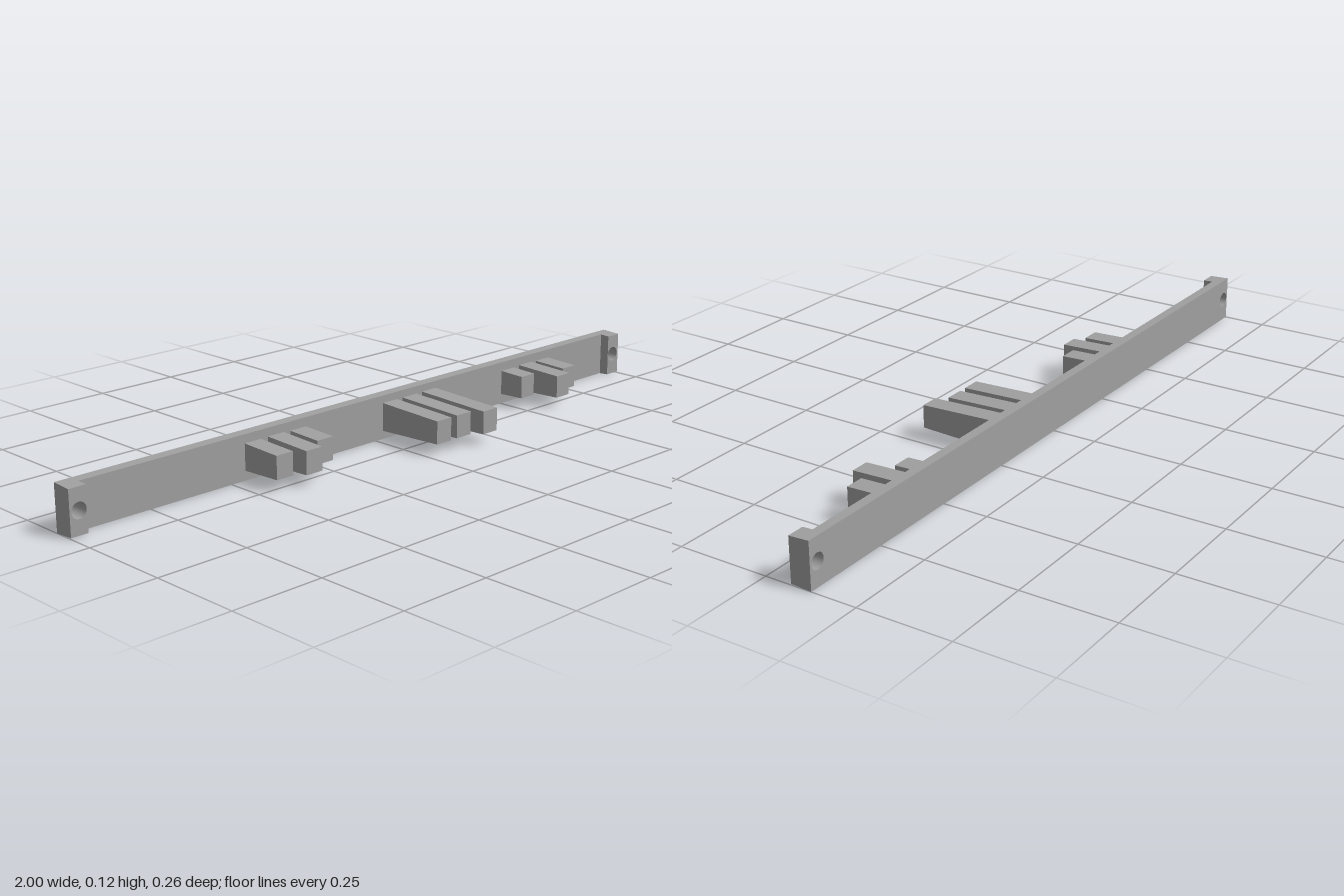
import * as THREE from 'three';

const BACK = -0.128, PLATE_FRONT = -0.1, CAP_FRONT = -0.072;
const MID_Y = 0.0635;

// Narrows a geometry vertically towards the front, giving a moulded draft.
function draft(geometry, midY, slope, zStart) {
  const p = geometry.attributes.position;
  for (let i = 0; i < p.count; i++) {
    const away = Math.sign(p.getY(i) - midY);
    p.setY(i, p.getY(i) - away * slope * (p.getZ(i) - zStart));
  }
  geometry.computeVertexNormals();
  return geometry;
}

// Upright slab between x0 and x1, with round screw holes through it.
function slab(x0, x1, z0, z1, holeXs) {
  const shape = new THREE.Shape();
  shape.moveTo(x0, 0.001);
  shape.lineTo(x1, 0.001);
  shape.lineTo(x1, 0.126);
  shape.lineTo(x0, 0.126);
  shape.closePath();
  for (const x of holeXs) {
    const hole = new THREE.Path();
    hole.absarc(x, 0.065, 0.021, 0, Math.PI * 2, true);
    shape.holes.push(hole);
  }
  const g = new THREE.ExtrudeGeometry(shape, { depth: z1 - z0, bevelEnabled: false, curveSegments: 24 });
  g.translate(0, 0, z0);
  // Only the outer edges taper, the bores stay straight.
  const p = g.attributes.position;
  for (let i = 0; i < p.count; i++) {
    const y = p.getY(i), t = 0.055 * (p.getZ(i) - BACK);
    if (y < 0.01) p.setY(i, y + t);
    if (y > 0.12) p.setY(i, y - t);
  }
  g.computeVertexNormals();
  return g;
}

export function createModel() {
  const model = new THREE.Group();
  model.name = 'peggedRail';
  const grey = new THREE.MeshStandardMaterial({ color: 0xa0a0a0 });
  grey.name = 'plainGrey';

  const add = (name, geometry, parent = model) => {
    const mesh = new THREE.Mesh(geometry, grey);
    mesh.name = name;
    parent.add(mesh);
  };

  // Long back plate, and a raised mounting block at either end
  add('backPlate', slab(-1, 1, BACK, PLATE_FRONT, [-0.974, 0.974]));
  add('leftEndBlock', slab(0.952, 1, PLATE_FRONT, CAP_FRONT, [0.974]));
  add('rightEndBlock', slab(-1, -0.952, PLATE_FRONT, CAP_FRONT, [-0.974]));

  // Three clusters of pegs: each peg is [centre x, front z]
  const clusters = {
    rightPegs: [[-0.432, 0.02], [-0.356, 0.044], [-0.281, 0.002]],
    middlePegs: [[0.049, 0.102], [0.124, 0.102], [0.199, 0.128]],
    leftPegs: [[0.525, -0.023], [0.601, 0.044], [0.676, 0.002]],
  };
  for (const [name, pegs] of Object.entries(clusters)) {
    const group = new THREE.Group();
    group.name = name;
    model.add(group);
    for (const [x, front] of pegs) {
      const length = front - PLATE_FRONT;
      const g = new THREE.BoxGeometry(0.053, 0.063, length);
      g.translate(x, MID_Y + 0.001, PLATE_FRONT + length / 2);
      add('peg', draft(g, MID_Y + 0.001, 0.037, front), group);
    }
  }
  return model;
}
